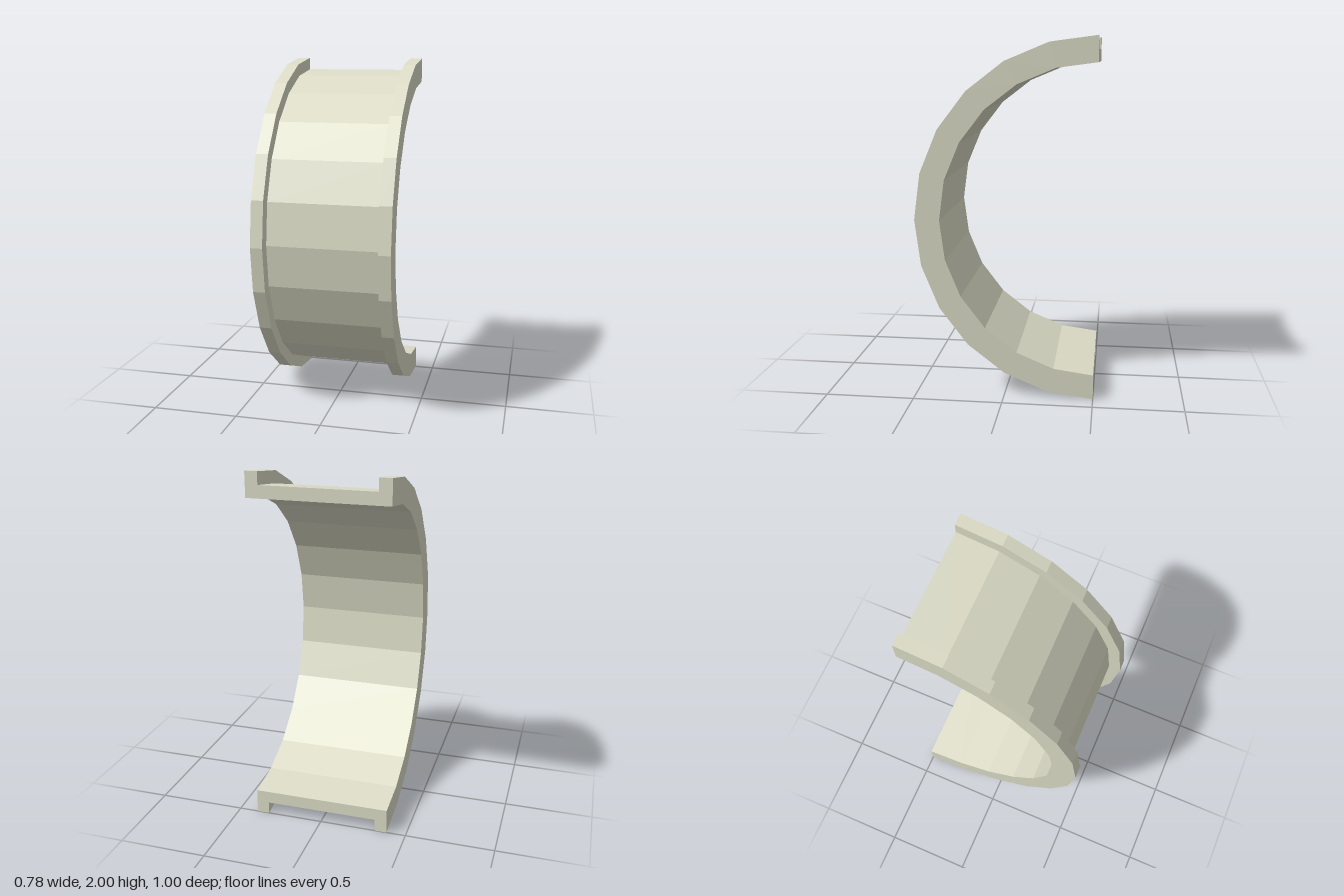
import * as THREE from 'three';

const HALF_WIDTH = 0.39;   // half the overall width
const HALF_CHANNEL = 0.32; // half the width between the flanges
const R_IN = 0.86, R_BAND = 0.93, R_OUT = 1;

export function createModel() {
  const group = new THREE.Group();
  group.name = 'halfRingShell';
  const material = new THREE.MeshStandardMaterial({ color: 0xddddc8, flatShading: true });

  // U-shaped cross-section as (radius, position along the axis)
  const profile = [
    [R_IN, -HALF_WIDTH], [R_OUT, -HALF_WIDTH], [R_OUT, -HALF_CHANNEL], [R_BAND, -HALF_CHANNEL],
    [R_BAND, HALF_CHANNEL], [R_OUT, HALF_CHANNEL], [R_OUT, HALF_WIDTH], [R_IN, HALF_WIDTH],
  ].map(([r, a]) => new THREE.Vector2(r, a));

  // Flanged half ring, twelve facets, with its axis turned from y to x
  const ring = new THREE.LatheGeometry([...profile, profile[0].clone()], 12, 0, Math.PI);
  ring.applyMatrix4(new THREE.Matrix4().set(
    0, 1, 0, 0,
    0, 0, 1, 0,
    1, 0, 0, 0,
    0, 0, 0, 1));
  const shell = new THREE.Mesh(ring, material);
  shell.name = 'flangedHalfRing';
  group.add(shell);

  // Flat end faces closing the ring at the back, top and bottom
  const section = new THREE.Shape(profile.map((p) => new THREE.Vector2(p.y, p.x)));
  const addEnd = (name, rx, ry) => {
    const end = new THREE.Mesh(new THREE.ShapeGeometry(section), material);
    end.name = name;
    end.rotation.set(rx, ry, 0);
    group.add(end);
  };
  addEnd('topEndFace', 0, Math.PI);
  addEnd('bottomEndFace', Math.PI, 0);

  group.position.set(0, 1, -0.5);
  return group;
}
